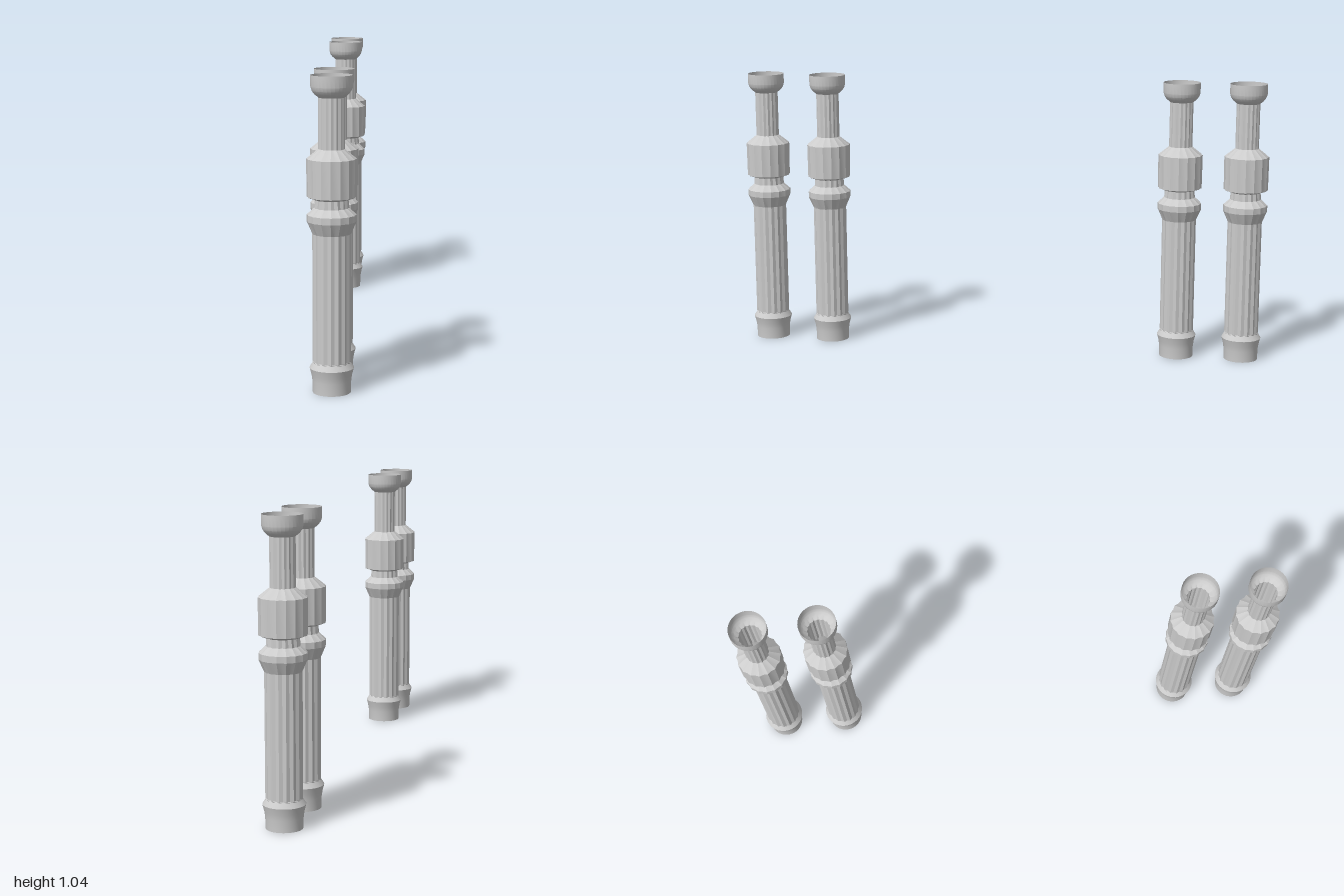
import * as THREE from 'three';
import { toCreasedNormals } from 'three/addons/utils/BufferGeometryUtils.js';

const FLUTES = 16;
const SEGMENTS = FLUTES * 2;

// Profile from the foot to the rim: [radius, height, flute depth]
const PROFILE = [
  [0.063, 0, 0], [0.064, 0.04, 0], [0.067, 0.06, 0], [0.073, 0.083, 0], [0.062, 0.1, 0],
  [0.063, 0.104, 0.004], [0.063, 0.528, 0.004],                      // lower shaft
  [0.081, 0.569, 0.003], [0.081, 0.591, 0.003],                      // collar
  [0.057, 0.613, 0.004], [0.055, 0.64, 0.004],                       // neck
  [0.081, 0.649, 0.004], [0.082, 0.773, 0.004],                      // drum
  [0.043, 0.804, 0.003], [0.043, 0.97, 0.003],                       // upper shaft
  [0.056, 0.981, 0], [0.064, 0.992, 0], [0.068, 1.005, 0], [0.068, 1.042, 0], // open cup
];

// Lathe a run of profile points, then push every second column inward to cut the flutes
function flutedLathe(points) {
  const geo = new THREE.LatheGeometry(points.map(([r, y]) => new THREE.Vector2(r, y)), SEGMENTS);
  const pos = geo.attributes.position;
  for (let i = 0; i < pos.count; i++) {
    const [r, , depth] = points[i % points.length];
    const column = Math.floor(i / points.length);
    const s = column % 2 ? (r - depth) / r : 1;
    pos.setX(i, pos.getX(i) * s);
    pos.setZ(i, pos.getZ(i) * s);
  }
  return toCreasedNormals(geo, 0.35);
}

export function createModel() {
  const model = new THREE.Group();
  model.name = 'columns';
  const material = new THREE.MeshStandardMaterial({ color: 0xcccccc, side: THREE.DoubleSide });

  // Each part is a run of the profile, sharing its end ring with the next
  const parts = [
    ['foot', 0, 5], ['lowerShaft', 5, 6], ['collar', 6, 9],
    ['neck', 9, 10], ['drum', 10, 13], ['upperShaft', 13, 14], ['cup', 14, 18],
  ].map(([name, from, to]) => [name, flutedLathe(PROFILE.slice(from, to + 1))]);

  // Two pairs of columns, front and back
  for (const [name, z] of [['frontOuter', 0.918], ['frontInner', 0.675], ['backInner', -0.675], ['backOuter', -0.918]]) {
    const column = new THREE.Group();
    column.name = name + 'Column';
    for (const [partName, geo] of parts) {
      const mesh = new THREE.Mesh(geo, material);
      mesh.name = partName;
      column.add(mesh);
    }
    column.position.z = z;
    model.add(column);
  }
  return model;
}
